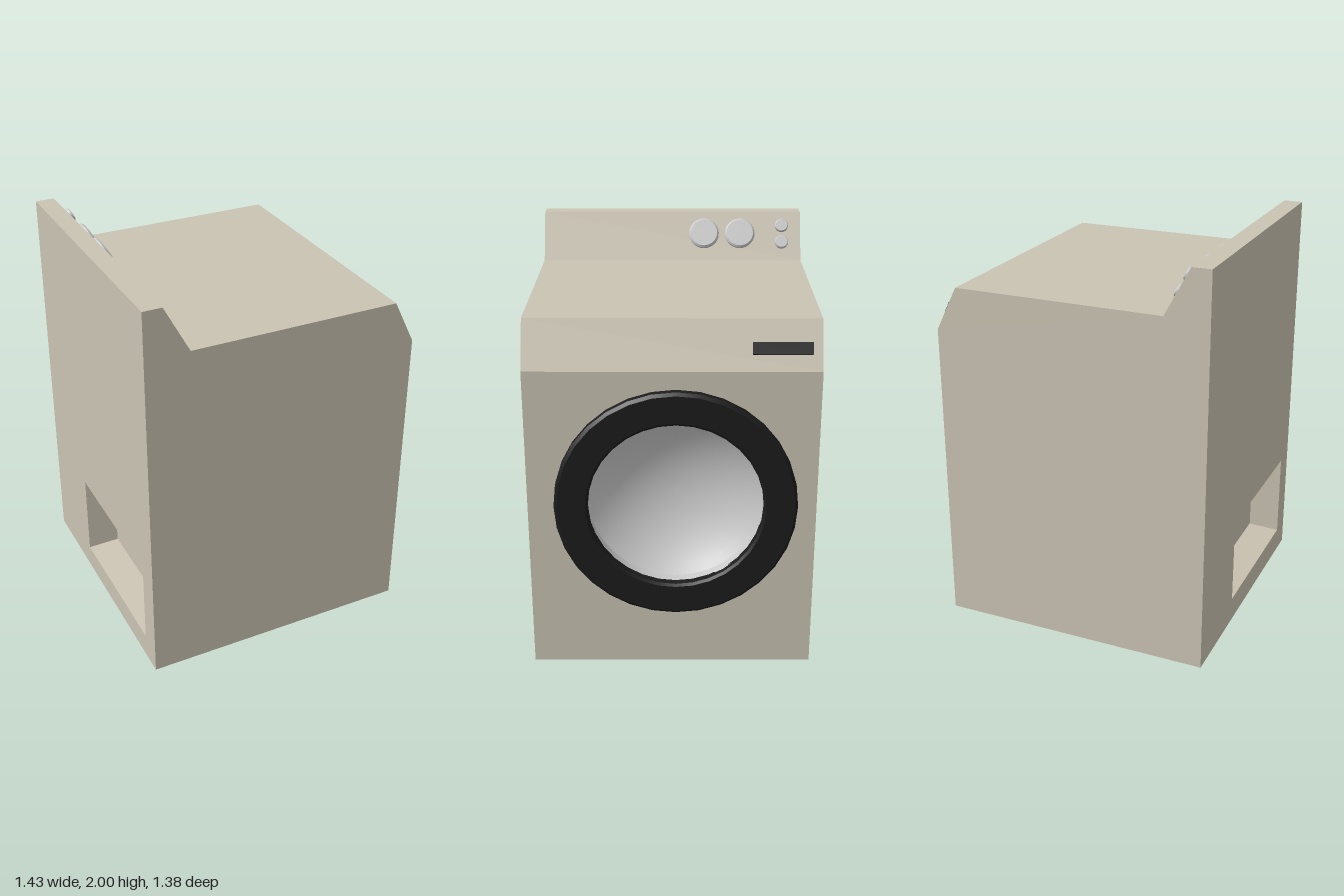
import * as THREE from 'three';
import { mergeGeometries } from 'three/addons/utils/BufferGeometryUtils.js';

const mat = (color, side = THREE.FrontSide) => new THREE.MeshStandardMaterial({ color, side });
const HALF = 0.69;                       // half width along z
const DOOR = { y: 0.878, z: -0.018 };    // door centre
const RECESS = { y0: 0.125, y1: 0.565, z0: -0.23, z1: 0.57 };

// Side outline of the cabinet (x, y), counter-clockwise
const profile = [
  [-0.715, 0], [0.665, 0], [0.665, 1.545], [0.555, 1.765],
  [-0.495, 1.765], [-0.62, 2], [-0.715, 2],
].map(([x, y]) => new THREE.Vector2(x, y));

function named(geometry, material, name) {
  const mesh = new THREE.Mesh(geometry, material);
  mesh.name = name;
  return mesh;
}

function rectPath(Type, u0, v0, u1, v1) {
  return new Type([[u0, v0], [u1, v0], [u1, v1], [u0, v1]].map(p => new THREE.Vector2(...p)));
}

// Frame on one sloping edge: X along the edge, Y along z, Z outward
function edgeFrame(i) {
  const a = profile[i], b = profile[(i + 1) % profile.length];
  const d = b.clone().sub(a).normalize();
  const m = new THREE.Matrix4().makeBasis(
    new THREE.Vector3(d.x, d.y, 0), new THREE.Vector3(0, 0, 1), new THREE.Vector3(d.y, -d.x, 0));
  m.setPosition(a.x, a.y, 0);
  return { m, length: a.distanceTo(b), a, d };
}

// Sets an object on an edge panel at height y and depth z
function placeOnEdge(object, i, y, z) {
  const { m, a, d } = edgeFrame(i);
  object.quaternion.setFromRotationMatrix(m);
  object.position.set(a.x + d.x * (y - a.y) / d.y, y, z);
  return object;
}

function cabinetGeometry() {
  const parts = profile.map((_, i) => {
    const { m, length } = edgeFrame(i);
    const shape = rectPath(THREE.Shape, 0, -HALF, length, HALF);
    if (i === 1) shape.holes.push(new THREE.Path().absarc(DOOR.y, DOOR.z, 0.45, 0, Math.PI * 2));
    if (i === 6) {
      shape.holes.push(rectPath(THREE.Path, 2 - RECESS.y1, RECESS.z0, 2 - RECESS.y0, RECESS.z1));
    }
    return new THREE.ShapeGeometry(shape, 32).applyMatrix4(m);
  });
  // Side walls
  const wall = new THREE.ShapeGeometry(new THREE.Shape(profile));
  parts.push(wall.clone().translate(0, 0, HALF));
  parts.push(wall.clone().rotateY(Math.PI).scale(1, 1, 1).translate(0, 0, -HALF));
  // The turned wall is mirrored in x, so rebuild it from the mirrored outline
  const mirrored = new THREE.Shape(profile.map(p => new THREE.Vector2(-p.x, p.y)).reverse());
  parts[parts.length - 1] = new THREE.ShapeGeometry(mirrored).rotateY(Math.PI).translate(0, 0, -HALF);
  return mergeGeometries(parts);
}

// Slightly tapered pocket let into the back
function recessGeometry() {
  const { y0, y1, z0, z1 } = RECESS, t = 0.015;
  const ring = (x, k) => [[x, y0 + k, z0 + k], [x, y0 + k, z1 - k], [x, y1 - k, z1 - k], [x, y1 - k, z0 + k]];
  const outer = ring(-0.715, 0), inner = ring(-0.555, t);
  const pos = [];
  const quad = (a, b, c, d) => pos.push(...a, ...b, ...c, ...a, ...c, ...d);
  for (let i = 0; i < 4; i++) {
    const j = (i + 1) % 4;
    quad(outer[i], outer[j], inner[j], inner[i]);
  }
  quad(...inner);
  const g = new THREE.BufferGeometry();
  g.setAttribute('position', new THREE.Float32BufferAttribute(pos, 3));
  g.computeVertexNormals();
  return g;
}

// Turned part: points are (radius, height along the axis)
const lathe = (points, segments) =>
  new THREE.LatheGeometry(points.map(p => new THREE.Vector2(...p)), segments);

function knob(radius, name) {
  const h = 0.024, c = radius * 0.12;
  const rim = lathe([[radius, 0], [radius, h - c]], 28);
  const bevel = lathe([[radius, h - c], [radius - c, h]], 28);
  const face = lathe([[radius - c, h], [0, h]], 28);
  const g = mergeGeometries([rim, bevel, face]).rotateX(Math.PI / 2);
  return named(g, mat(0xcccccc), name);
}

export function createModel() {
  const model = new THREE.Group();
  const body = mat(0xcac3b3), black = mat(0x1c1c1c);

  // Cabinet and back pocket
  model.add(named(cabinetGeometry(), body, 'cabinet'));
  model.add(named(recessGeometry(), mat(0xcac3b3, THREE.DoubleSide), 'backRecess'));

  // Door: dark ring with bevelled rims, then a rim wall and a concave bowl
  const door = new THREE.Group();
  door.name = 'door';
  const ring = [
    [[0.58, 0], [0.58, 0.033]], [[0.58, 0.033], [0.565, 0.046]],
    [[0.565, 0.046], [0.43, 0.046]], [[0.43, 0.046], [0.418, 0.036]],
    [[0.418, 0.036], [0.418, 0]],
  ].map(pts => lathe(pts, 32));
  door.add(named(mergeGeometries(ring), black, 'doorRing'));
  const glass = mat(0xcccccc, THREE.DoubleSide);
  const depth = 0.16, r = 0.418, wallEnd = -0.05;
  door.add(named(lathe([[r, 0.01], [r, wallEnd]], 32), glass, 'doorRimWall'));
  const R = (r * r + depth * depth) / (2 * depth), maxAngle = Math.asin(r / R);
  const bowl = [];
  for (let i = 0; i <= 10; i++) {
    const a = maxAngle * (1 - i / 10);
    bowl.push([R * Math.sin(a), wallEnd - depth + R * (1 - Math.cos(a))]);
  }
  door.add(named(lathe(bowl, 32), glass, 'doorBowl'));
  door.rotation.z = -Math.PI / 2;
  door.position.set(0.665, DOOR.y, DOOR.z);
  model.add(door);

  // Handle bar on the sloping upper front
  const handle = new THREE.BoxGeometry(0.056, 0.275, 0.04);
  model.add(placeOnEdge(named(handle, black, 'handle'), 2, 1.64, -0.506));

  // Controls on the sloping console
  for (const z of [-0.17, -0.363]) model.add(placeOnEdge(knob(0.08, 'dial'), 4, 1.895, z));
  for (const y of [1.933, 1.853]) model.add(placeOnEdge(knob(0.035, 'button'), 4, y, -0.588));

  return model;
}
